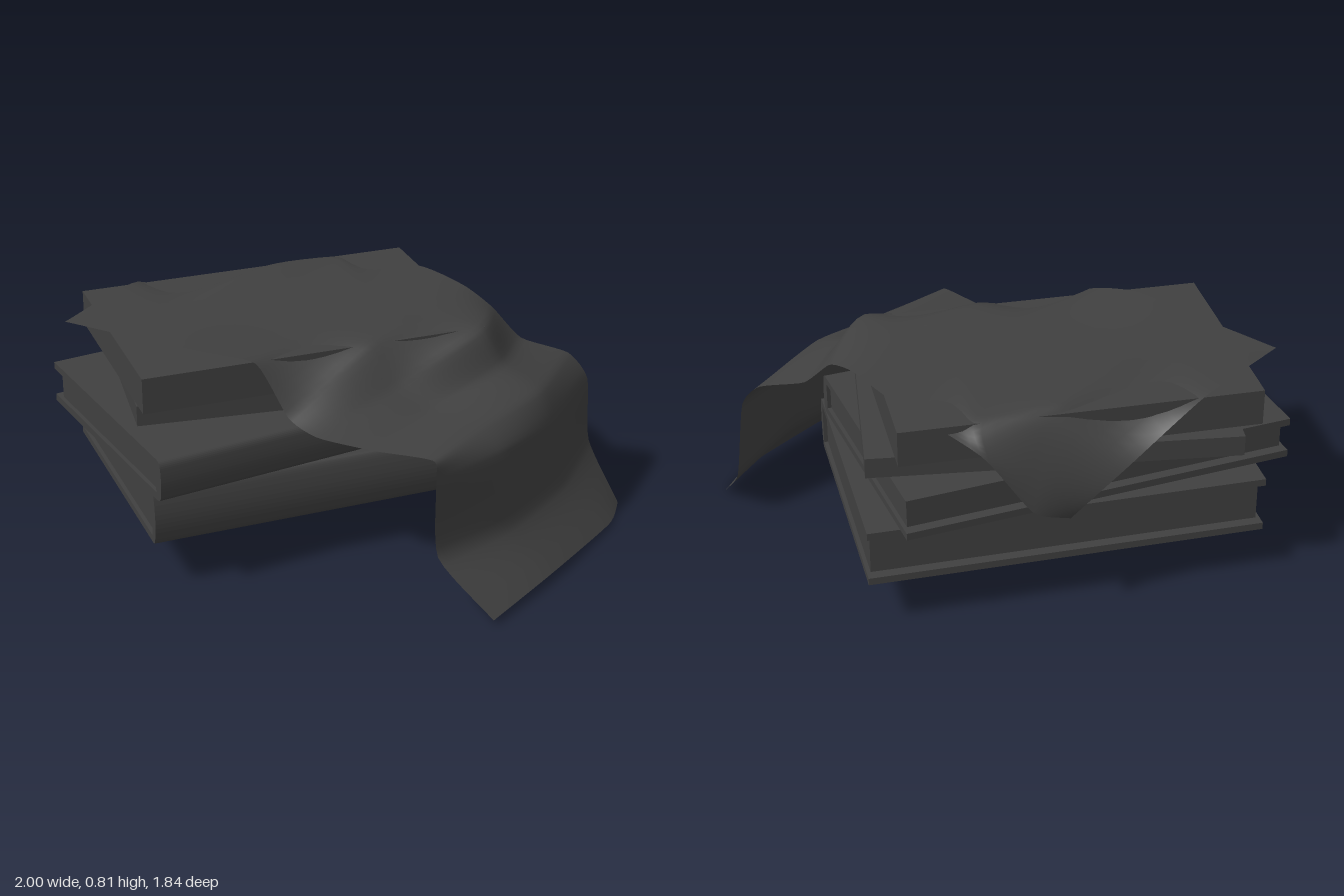
import * as THREE from 'three';

const material = new THREE.MeshStandardMaterial({ color: 0x404040 });
const clothMaterial = new THREE.MeshStandardMaterial({ color: 0x404040, side: THREE.DoubleSide });

function addMesh(parent, name, geometry, mat = material) {
  const mesh = new THREE.Mesh(geometry, mat);
  mesh.name = name;
  parent.add(mesh);
  return mesh;
}

// Book frame: origin at the front spine corner, +x towards the fore edge, +z along the spine.
function bookGroup(name, corner, foreEdge, y) {
  const group = new THREE.Group();
  group.name = name;
  const dx = foreEdge[0] - corner[0], dz = foreEdge[1] - corner[1];
  group.position.set(corner[0], y, corner[1]);
  group.rotation.y = Math.atan2(-dz, dx);
  group.userData.width = Math.hypot(dx, dz);
  return group;
}

// Hardback: a C-shaped cover run along the spine, with a recessed page block
function hardback(name, corner, foreEdge, y, height, length, bulge) {
  const book = bookGroup(name, corner, foreEdge, y);
  const w = book.userData.width, t = 0.028, r = 0.035;
  const s = new THREE.Shape();
  s.moveTo(w, 0);
  s.lineTo(r, 0);
  s.quadraticCurveTo(bulge, 0, bulge * 0.6, r);
  s.quadraticCurveTo(-bulge * 0.3, height / 2, bulge * 0.6, height - r);
  s.quadraticCurveTo(bulge, height, r, height);
  s.lineTo(w, height);
  s.lineTo(w, height - t);
  s.lineTo(r + 0.01, height - t);
  s.lineTo(r + 0.01, t);
  s.lineTo(w, t);
  s.closePath();
  const cover = new THREE.ExtrudeGeometry(s, { depth: length, bevelEnabled: false, curveSegments: 8 });
  // The spine runs away from the front corner, which is -z in this frame
  cover.translate(0, 0, 0);
  addMesh(book, 'cover', cover);
  const pages = new THREE.BoxGeometry(w - 0.08, height - 2 * t + 0.002, length - 0.03);
  pages.translate((w - 0.08) / 2 + 0.04, height / 2, length / 2);
  addMesh(book, 'pages', pages);
  return book;
}

// Plain block-like book
function plainBook(name, corner, foreEdge, y, height, length) {
  const book = bookGroup(name, corner, foreEdge, y);
  const w = book.userData.width;
  const block = new THREE.BoxGeometry(w, height, length);
  block.translate(w / 2, height / 2, length / 2);
  addMesh(book, 'block', block);
  return book;
}

// Draped cloth: sections from left to right, each running front to back
const sections = [
  [[-0.85, 0.79, 0.52], [-0.85, 0.79, 0.06], [-0.74, 0.60, -0.24], [-0.62, 0.42, -0.41]],
  [[-0.55, 0.80, 0.52], [-0.55, 0.795, 0.2], [-0.51, 0.79, -0.34], [-0.57, 0.50, -0.56]],
  [[-0.22, 0.815, 0.52], [-0.25, 0.795, 0.15], [-0.31, 0.792, -0.55], [-0.42, 0.72, -0.66]],
  [[-0.03, 0.79, 0.46], [0, 0.795, 0.1], [0, 0.795, -0.3], [0.0, 0.792, -0.66]],
  [[0.12, 0.62, 0.48], [0.23, 0.79, 0.1], [0.3, 0.795, -0.25], [0.25, 0.785, -0.59]],
  [[0.25, 0.58, 0.49], [0.36, 0.66, 0.12], [0.51, 0.785, -0.24], [0.40, 0.74, -0.55]],
  [[0.45, 0.555, 0.43], [0.5, 0.59, 0.1], [0.6, 0.66, -0.25], [0.52, 0.63, -0.57]],
  [[0.68, 0.575, 0.42], [0.71, 0.58, 0.1], [0.76, 0.59, -0.25], [0.69, 0.58, -0.64]],
  [[0.70, 0.50, 0.43], [0.80, 0.50, 0.1], [0.82, 0.48, -0.25], [0.77, 0.48, -0.66]],
  [[0.715, 0.20, 0.43], [0.82, 0.20, 0.1], [0.845, 0.20, -0.3], [0.77, 0.19, -0.71]],
  [[0.95, 0.02, 0.44], [0.99, 0.03, 0.05], [1.0, 0.01, -0.43], [0.95, 0.0, -0.62]],
];

// Point at t (in control steps) on a curve that is gentle enough not to overshoot
function along(points, t) {
  const curve = new THREE.CatmullRomCurve3(points, false, 'catmullrom', 0.3);
  return curve.getPoint(t);
}

function clothGeometry(nu, nv) {
  const rows = sections.map((sec) => {
    const pts = sec.map((p) => new THREE.Vector3(...p));
    return Array.from({ length: nv + 1 }, (_, j) => along(pts, j / nv));
  });
  const geo = new THREE.PlaneGeometry(1, 1, nu, nv);
  const pos = geo.attributes.position;
  for (let j = 0; j <= nv; j++) {
    const line = rows.map((row) => row[nv - j]);
    for (let i = 0; i <= nu; i++) {
      const p = along(line, i / nu);
      pos.setXYZ(j * (nu + 1) + i, p.x, Math.max(p.y, 0), p.z);
    }
  }
  geo.computeVertexNormals();
  return geo;
}

export function createModel() {
  const model = new THREE.Group();
  model.name = 'bookStackWithCloth';

  // Four stacked books, each turned a little differently
  model.add(
    hardback('bottomBook', [-0.2, 0.87], [-1.0, 0.27], 0.18, 0.22, 1.486, 0.02),
    hardback('secondBook', [-0.13, 0.92], [-0.975, 0.45], 0.402, 0.163, 1.5, 0.008),
    plainBook('thirdBook', [-0.37, 0.73], [-0.985, 0.13], 0.566, 0.079, 1.357),
    plainBook('topBook', [-0.31, 0.77], [-0.985, 0.24], 0.646, 0.138, 1.33),
  );

  // Books are laid out along +z from the corner; flip to run away from the front
  for (const book of model.children) {
    const spine = new THREE.Vector3(0, 0, 1).applyEuler(book.rotation);
    if (spine.z > 0) book.scale.z = -1;
  }

  addMesh(model, 'cloth', clothGeometry(60, 24), clothMaterial);
  return model;
}
